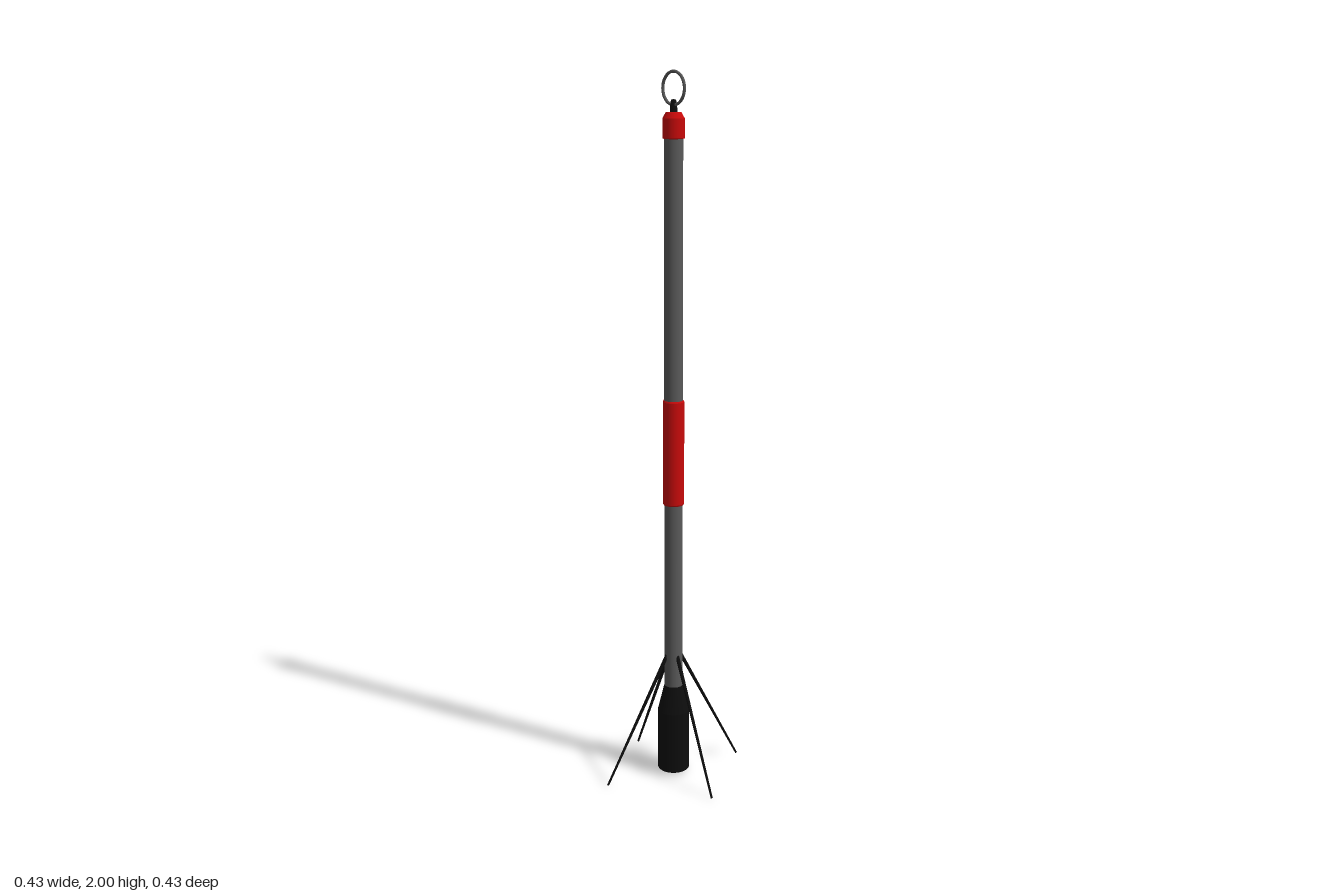
import * as THREE from 'three';

const mat = (name, color) => {
  const m = new THREE.MeshStandardMaterial({ color });
  m.name = name;
  return m;
};

export function createModel() {
  const model = new THREE.Group();
  model.name = 'fieldStaff';
  const grey = mat('greyMetal', 0x5a5a5a);
  const red = mat('redPaint', 0xc80a0a);
  const black = mat('blackRubber', 0x0d0d0d);

  const add = (name, geometry, material, parent = model) => {
    const mesh = new THREE.Mesh(geometry, material);
    mesh.name = name;
    parent.add(mesh);
    return mesh;
  };
  // Turned part from [radius, height] points, with crisp edges between segments
  const turned = (name, points, material, sides = 20) => {
    const group = new THREE.Group();
    group.name = name;
    for (let i = 0; i < points.length - 1; i++) {
      const pair = [points[i], points[i + 1]].map(([r, y]) => new THREE.Vector2(r, y));
      add(name + 'Band', new THREE.LatheGeometry(pair, sides), material, group);
    }
    model.add(group);
  };

  // Long shaft
  turned('shaft', [[0, 0.25], [0.026, 0.25], [0.026, 1.83], [0, 1.83]], grey);

  // Middle grip and top cap
  turned('grip', [[0.025, 0.81], [0.028, 0.81], [0.03, 0.814], [0.03, 1.106], [0.028, 1.11], [0.025, 1.11]], red);
  turned('cap', [[0.025, 1.82], [0.03, 1.822], [0.03, 1.874], [0.021, 1.89], [0, 1.89]], red);

  // Weighted foot with a tapered shoulder
  turned('foot', [[0, 0.008], [0.043, 0.008], [0.046, 0.012], [0.046, 0.19], [0.027, 0.267], [0, 0.267]], black);

  // Ring and its stem
  turned('stem', [[0.01, 1.888], [0.01, 1.902], [0.007, 1.922], [0, 1.924]], black, 12);
  const ring = add('ring', new THREE.TorusGeometry(0.0435, 0.0042, 8, 40), grey);
  ring.position.y = 1.952;

  // Four splayed tapering legs
  for (let i = 0; i < 4; i++) {
    const a = THREE.MathUtils.degToRad(11.2) + i * Math.PI / 2;
    const at = (r, y) => new THREE.Vector3(r * Math.cos(a), y, r * Math.sin(a));
    const top = at(0.021, 0.362);
    const tip = at(0.217, 0.0015);
    const dir = top.clone().sub(tip);
    const leg = add('leg', new THREE.CylinderGeometry(0.0055, 0.003, dir.length(), 8), black);
    leg.position.copy(top).add(tip).multiplyScalar(0.5);
    leg.quaternion.setFromUnitVectors(new THREE.Vector3(0, 1, 0), dir.normalize());
  }
  return model;
}
